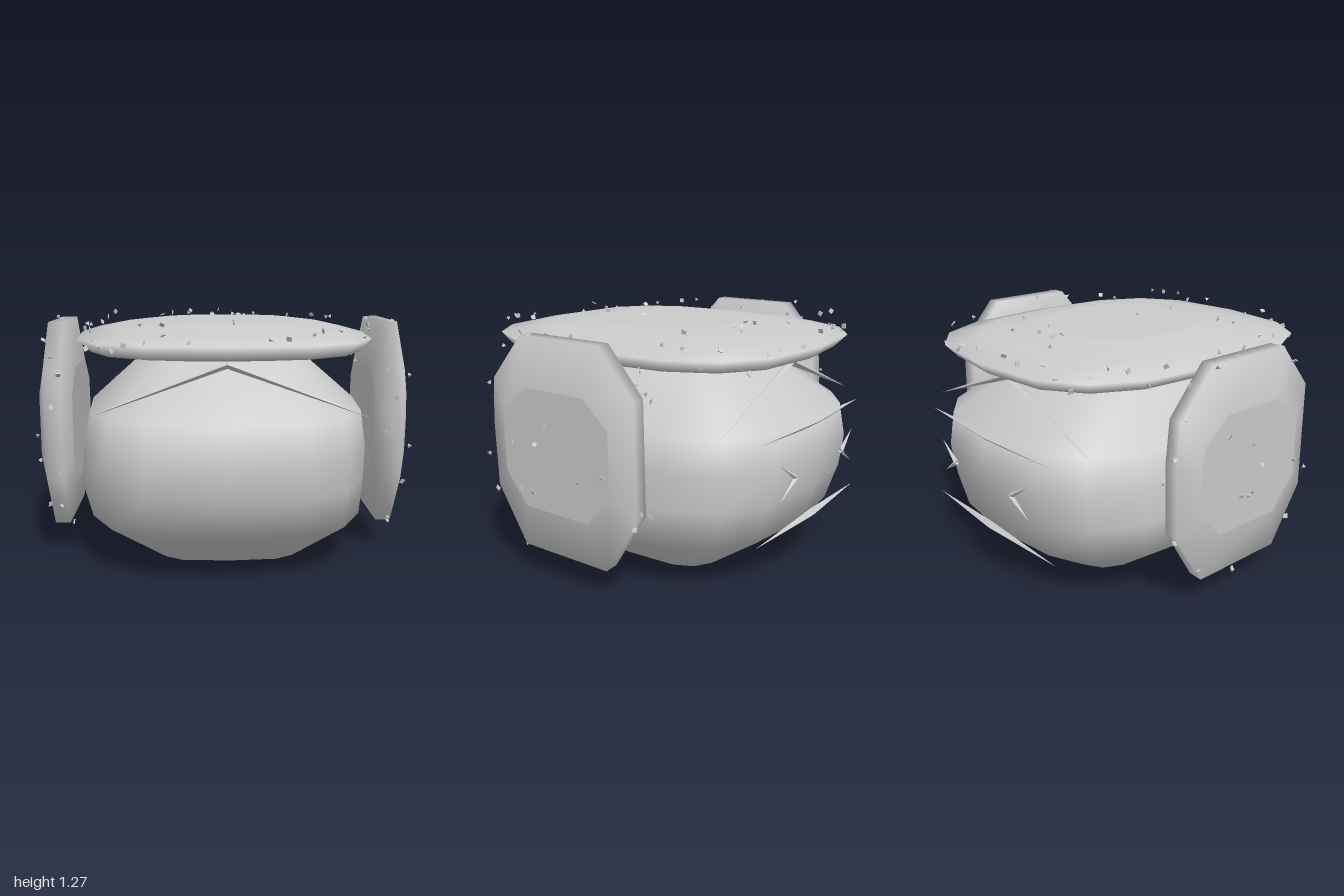
import * as THREE from 'three';

const material = new THREE.MeshStandardMaterial({ color: 0xcccccc });
const chipMaterial = new THREE.MeshStandardMaterial({ color: 0xcccccc, flatShading: true });

// Closed stone from stacked rings of [x, y, z] points, low to high:
// smooth sides, flat end faces.
function loft(name, rings) {
  const n = rings[0].length;
  const pos = rings.flat(2);
  const index = [];
  for (let r = 0; r < rings.length - 1; r++) {
    for (let i = 0; i < n; i++) {
      const a = r * n + i, b = r * n + (i + 1) % n;
      index.push(a, a + n, b, b, a + n, b + n);
    }
  }
  // end faces with their own corners, so their edges stay crisp
  const addCap = (cap, top) => {
    const start = pos.length / 3;
    pos.push(...cap.flat());
    for (let i = 1; i < n - 1; i++) {
      index.push(start, ...(top ? [start + i + 1, start + i] : [start + i, start + i + 1]));
    }
  };
  addCap(rings[0], false);
  addCap(rings[rings.length - 1], true);
  const geo = new THREE.BufferGeometry();
  geo.setAttribute('position', new THREE.Float32BufferAttribute(pos, 3));
  geo.setIndex(index);
  geo.computeVertexNormals();
  const mesh = new THREE.Mesh(geo, material);
  mesh.name = name;
  return mesh;
}

// Rounded-square ring at height y spanning x0..x1 and z0..z1.
function ring(y, x0, x1, z0, z1, power = 2.9, sides = 16) {
  const f = v => Math.sign(v) * Math.abs(v) ** (2 / power);
  return Array.from({ length: sides }, (_, i) => {
    const a = (i / sides) * Math.PI * 2;
    return [
      (x0 + x1) / 2 + f(Math.cos(a)) * (x1 - x0) / 2, y,
      (z0 + z1) / 2 + f(Math.sin(a)) * (z1 - z0) / 2,
    ];
  });
}

// Thin four-sided splinter, wide at a and pointed at b.
function splinter(a, b, radius) {
  const from = new THREE.Vector3(...a), to = new THREE.Vector3(...b);
  const dir = to.clone().sub(from);
  const mesh = new THREE.Mesh(new THREE.ConeGeometry(radius, dir.length(), 4), chipMaterial);
  mesh.position.copy(from).add(to).multiplyScalar(0.5);
  mesh.quaternion.setFromUnitVectors(new THREE.Vector3(0, 1, 0), dir.normalize());
  mesh.name = 'crackSplinter';
  return mesh;
}

function seeded(seed) {
  return () => (seed = (seed * 16807) % 2147483647) / 2147483647;
}

export function createModel() {
  const group = new THREE.Group();

  // main boulder
  group.add(loft('boulder', [
    ring(0, -0.38, 0.43, -0.47, 0.45, 4),
    ring(0.25, -0.73, 0.75, -0.83, 0.83),
    ring(0.45, -0.78, 0.76, -0.89, 0.89),
    ring(0.63, -0.76, 0.76, -0.92, 0.93),
    ring(0.81, -0.73, 0.74, -0.89, 0.87),
    ring(1.06, -0.45, 0.45, -0.5, 0.5),
    ring(1.09, -0.3, 0.3, -0.32, 0.32),
  ]));

  // flat slab lying on top
  group.add(loft('topSlab', [
    ring(1.06, -0.38, 0.4, -0.4, 0.42),
    ring(1.115, -0.71, 0.72, -0.84, 0.86),
    ring(1.18, -0.78, 0.78, -0.9, 0.9),
    ring(1.22, -0.58, 0.6, -0.72, 0.68),
    ring(1.25, -0.37, 0.4, -0.4, 0.4),
  ]));

  // upright slabs at both sides: outline as [y, z], thickness along x
  const outline = [
    [0.16, -0.27], [0.16, 0.27], [0.45, 0.45], [0.8, 0.46], [1.02, 0.44],
    [1.25, 0.24], [1.25, -0.25], [1.02, -0.45], [0.46, -0.46],
  ];
  const layers = [[-0.085, 0.56, 0.74], [-0.04, 1, 0.98], [0.04, 1, 1], [0.085, 0.56, 0.74]];
  const slabRings = layers.map(([x, sy, sz]) =>
    outline.map(([y, z]) => [-(y - 0.705) * sy, x, z * sz]));
  for (const side of [1, -1]) {
    const holder = new THREE.Group();
    holder.name = side > 0 ? 'leftSlab' : 'rightSlab';
    const slab = loft('sideSlab', slabRings);
    slab.rotation.z = -Math.PI / 2;
    holder.add(slab);
    holder.position.set(side * 0.88, 0.705, 0);
    if (side < 0) holder.rotation.y = Math.PI;
    group.add(holder);
  }

  // crack splinters: a shallow chevron front and back
  const cracks = new THREE.Group();
  cracks.name = 'cracks';
  for (const s of [1, -1]) {
    for (const z of [0.735, -0.735]) {
      cracks.add(splinter([0, 1.085, z], [s * 0.7, 0.82, z], 0.02));
    }
    // long cracks and small angled cracks across the back
    for (const y of [0.8, 0.3]) {
      cracks.add(splinter([0, y, -0.88], [s * 0.55, y, -0.87], 0.025));
    }
    for (const dy of [0.09, -0.09]) {
      cracks.add(splinter([s * 0.26, 0.58, -0.915], [s * 0.4, 0.58 + dy, -0.91], 0.015));
    }
  }
  group.add(cracks);

  // stone chips scattered around the slabs
  const chips = new THREE.Group();
  chips.name = 'chips';
  const rand = seeded(41);
  const spread = (a, b) => a + (b - a) * rand();
  const chipGeometries = [
    new THREE.BoxGeometry(0.024, 0.024, 0.005),
    new THREE.TetrahedronGeometry(0.015),
  ];
  const addChip = (x, y, z) => {
    const chip = new THREE.Mesh(chipGeometries[rand() < 0.5 ? 0 : 1], chipMaterial);
    chip.position.set(x, y, z);
    chip.rotation.set(spread(0, 6), spread(0, 6), spread(0, 6));
    chip.name = 'chip';
    chips.add(chip);
  };
  // around the rim of the top slab
  for (const [x, , z] of ring(0, -0.77, 0.77, -0.89, 0.89, 2.9, 48)) {
    const k = spread(0.92, 1.01);
    addChip(x * k, spread(1.1, 1.26), z * k);
  }
  // on top of the slab
  for (let i = 0; i < 12; i++) addChip(spread(-0.5, 0.5), 1.25, spread(-0.7, 0.6));
  // along the edges and outer faces of the side slabs
  for (const s of [1, -1]) {
    for (let i = 0; i < 18; i++) {
      const [y, z] = outline[i % outline.length];
      const [y2, z2] = outline[(i + 1) % outline.length];
      const t = rand();
      addChip(s * spread(0.8, 0.97), y + (y2 - y) * t, (z + (z2 - z) * t) * 1.03);
    }
    for (let i = 0; i < 6; i++) addChip(s * 0.968, spread(0.45, 0.95), spread(-0.3, 0.3));
    addChip(s * 0.988, 0.66, -s * 0.31);
  }
  group.add(chips);

  return group;
}
